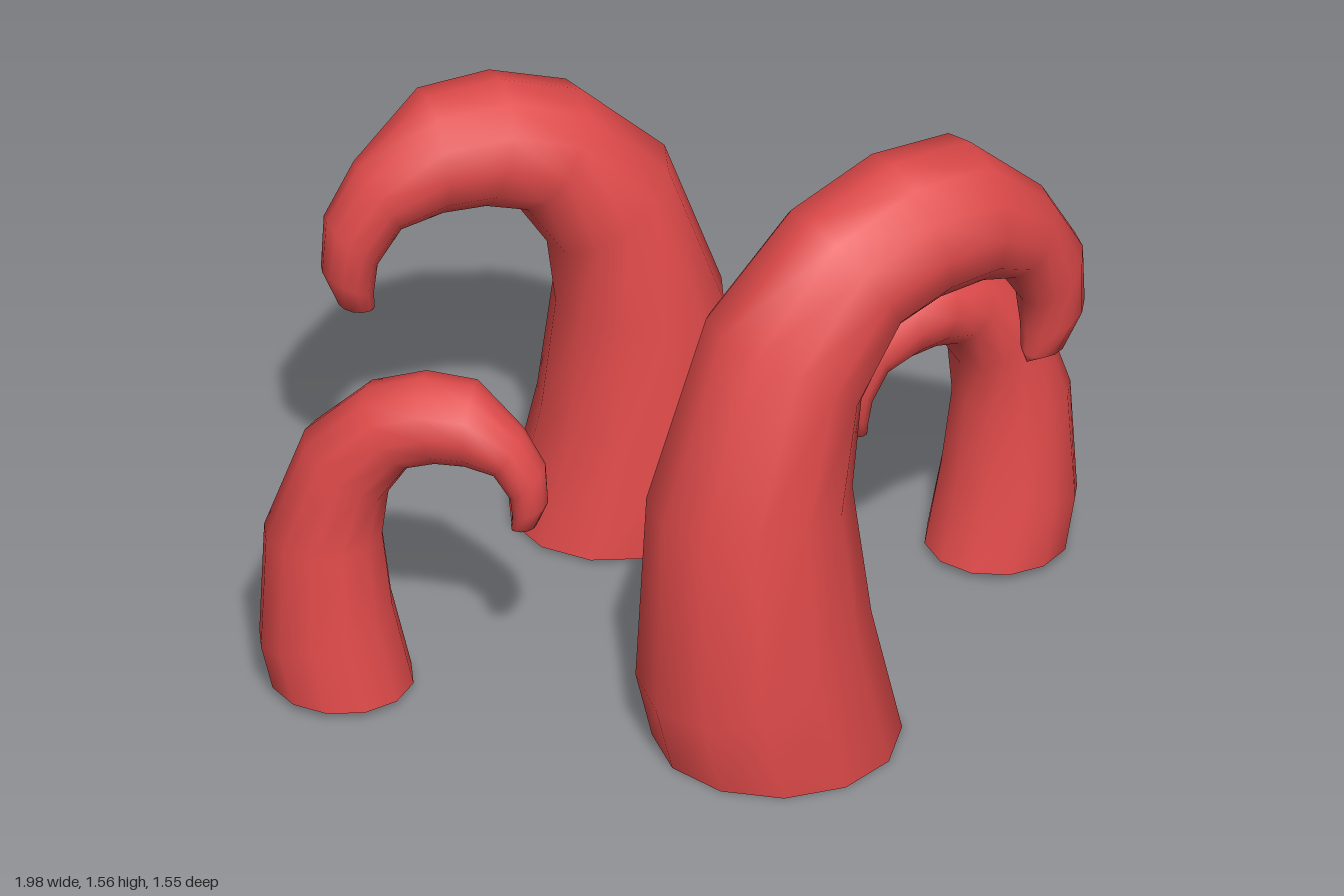
import * as THREE from 'three';

const SIDES = 12;

// Cross-sections from base to tip: [outer u, outer y, inner u, inner y]; u runs along the curl.
const RINGS = [
  [-0.182, 0, 0.182, 0],
  [-0.21, 0.108, 0.128, 0.225],
  [-0.198, 0.424, 0.102, 0.435],
  [-0.095, 0.715, 0.118, 0.562],
  [0.056, 0.86, 0.18, 0.659],
  [0.2, 0.909, 0.25, 0.68],
  [0.335, 0.9, 0.322, 0.68],
  [0.46, 0.78, 0.388, 0.655],
  [0.517, 0.68, 0.428, 0.592],
  [0.524, 0.58, 0.433, 0.535],
  [0.494, 0.508, 0.43, 0.5],
];
const TIP = [0.434, 0.484, 0];

// Curled body: a round ring across each outer/inner pair, closed at the tip
function tentacleGeometry() {
  const pos = [], index = [];
  for (const [ou, oy, iu, iy] of RINGS) {
    const cu = (ou + iu) / 2, cy = (oy + iy) / 2;
    const r = Math.hypot(ou - iu, oy - iy) / 2;
    for (let k = 0; k < SIDES; k++) {
      const a = (k / SIDES) * Math.PI * 2, c = Math.cos(a);
      pos.push(cu + (ou - cu) * c, cy + (oy - cy) * c, r * Math.sin(a));
    }
  }
  pos.push(...TIP);
  const last = RINGS.length - 1, tip = RINGS.length * SIDES;
  for (let k = 0; k < SIDES; k++) {
    const n = (k + 1) % SIDES;
    for (let j = 0; j < last; j++) {
      const a = j * SIDES + k, b = j * SIDES + n;
      index.push(a, b, b + SIDES, a, b + SIDES, a + SIDES);
    }
    index.push(last * SIDES + k, last * SIDES + n, tip);
  }
  const g = new THREE.BufferGeometry();
  g.setAttribute('position', new THREE.Float32BufferAttribute(pos, 3));
  g.setIndex(index);
  g.computeVertexNormals();
  return g;
}

export function createModel() {
  const model = new THREE.Group();
  model.name = 'tentacles';
  const red = new THREE.MeshStandardMaterial({ color: 0xe04a4a });
  const body = tentacleGeometry();
  const cap = new THREE.CircleGeometry(0.182, SIDES).rotateX(Math.PI / 2);

  // One shape, placed four times: name, x, y, z, size, turn in degrees
  const places = [
    ['largeFrontTentacle', 0.32, 0, 0.43, 1.714, 45],
    ['mediumBackTentacle', -0.29, 0.01, -0.49, 1.45, 210],
    ['smallFrontTentacle', -0.786, 0.02, 0.43, 1, 0],
    ['smallBackTentacle', 0.68, 0.02, -0.525, 1, 232],
  ];
  for (const [name, x, y, z, size, turn] of places) {
    const tentacle = new THREE.Group();
    tentacle.name = name;
    const curl = new THREE.Mesh(body, red);
    curl.name = 'curledBody';
    const base = new THREE.Mesh(cap, red);
    base.name = 'baseCap';
    tentacle.add(curl, base);
    tentacle.position.set(x, y, z);
    tentacle.scale.setScalar(size);
    tentacle.rotation.y = THREE.MathUtils.degToRad(turn);
    model.add(tentacle);
  }
  return model;
}
